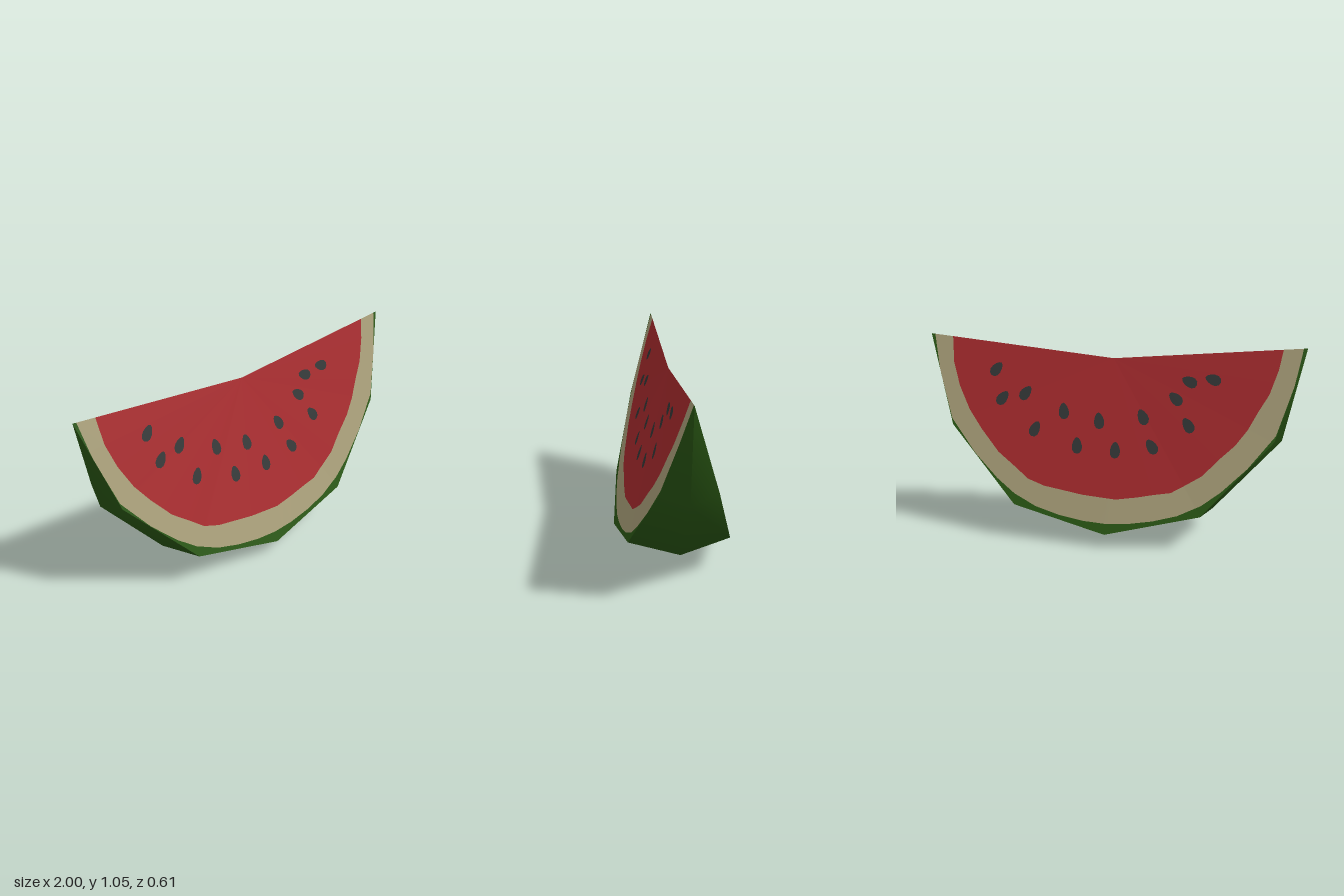
import * as THREE from 'three';

const APEX_Y = 0.96;
const ridgeY = (x) => APEX_Y + 0.095 * Math.abs(x);

// Outline of the cut face [x, y, z] and the matching keel of the rind, left to right
const mirror = (half) => [...half.map(([x, ...rest]) => [-x, ...rest]), ...half.slice(0, -1).reverse()];
const faceEdge = mirror([[1, 1.055, 0], [0.86, 0.59, 0.14], [0.5, 0.195, 0.26], [0, 0.075, 0.305]]);
const keel = mirror([[1, 1.055, 0], [0.9, 0.55, 0], [0.55, 0.135, 0], [0, 0, 0]]);

// Colour borders on the cut face
const creamEdge = mirror([[0.98, ridgeY(0.98)], [0.945, 0.87], [0.865, 0.62], [0.73, 0.45], [0.6, 0.325],
  [0.5, 0.25], [0.38, 0.193], [0.25, 0.158], [0.12, 0.137], [0, 0.13]]);
const fleshEdge = [[-0.88, ridgeY(0.88)], [-0.868, 0.91], [-0.83, 0.79], [-0.77, 0.67], [-0.7, 0.575], [-0.6, 0.46],
  [-0.5, 0.385], [-0.43, 0.33], [-0.34, 0.3], [-0.24, 0.285], [-0.13, 0.268], [0.05, 0.255], [0.16, 0.272],
  [0.25, 0.29], [0.34, 0.305], [0.41, 0.345], [0.5, 0.4], [0.58, 0.485], [0.66, 0.56], [0.72, 0.64],
  [0.77, 0.735], [0.82, 0.82], [0.86, 0.94], [0.88, ridgeY(0.88)]];

// Seeds: x, y, tilt in degrees
const seeds = [[-0.63, 0.885, -40], [-0.59, 0.738, -40], [-0.465, 0.768, -38], [-0.405, 0.588, -25],
  [-0.253, 0.685, 8], [-0.172, 0.515, 3], [-0.06, 0.645, 8], [0.034, 0.503, 0], [0.172, 0.675, 28],
  [0.227, 0.53, 38], [0.412, 0.647, 35], [0.34, 0.775, 52], [0.408, 0.863, 70], [0.53, 0.88, 75]];

// Angle round the middle of the ridge, measured from straight down
const angleOf = ([x, y]) => Math.atan2(x, APEX_Y - y);

// Where a ray from the ridge middle crosses a border
function crossing(line, angle) {
  let i = 0;
  while (i < line.length - 2 && angleOf(line[i + 1]) < angle) i++;
  const [a, b] = [line[i], line[i + 1]];
  const dx = Math.sin(angle), dy = -Math.cos(angle);
  const side = (p) => dx * (p[1] - APEX_Y) - dy * p[0];
  const t = THREE.MathUtils.clamp(side(a) / (side(a) - side(b)), 0, 1);
  return a.map((v, k) => v + (b[k] - v) * t);
}
const radiusOf = ([x, y]) => Math.hypot(x, y - APEX_Y);

// Point of the faceted cut face at a given x and y
function onFace(x, y, lift = 0) {
  const edge = crossing(faceEdge, angleOf([x, y]));
  return [x, y, edge[2] * radiusOf([x, y]) / radiusOf(edge) + lift];
}

function meshFrom(name, points, index, material) {
  const geometry = new THREE.BufferGeometry();
  geometry.setAttribute('position', new THREE.Float32BufferAttribute(points.flat(), 3));
  geometry.setIndex(index);
  geometry.computeVertexNormals();
  const mesh = new THREE.Mesh(geometry, material);
  mesh.name = name;
  return mesh;
}

// Strips joining neighbouring rows of equal length
function strips(rows) {
  const n = rows[0].length, index = [];
  for (let r = 0; r < rows.length - 1; r++) {
    for (let i = 0; i < n - 1; i++) {
      const a = r * n + i, b = a + n;
      index.push(a, b, a + 1, b, b + 1, a + 1);
    }
  }
  return [rows.flat(), index];
}

function createCutFace(materials) {
  const face = new THREE.Group();
  const angles = [...faceEdge, ...creamEdge, ...fleshEdge].map(angleOf).sort((a, b) => a - b)
    .filter((a, i, all) => i === 0 || a - all[i - 1] > 1e-4);
  const border = (line) => angles.map((angle) => {
    const r = Math.min(radiusOf(crossing(line, angle)), radiusOf(crossing(faceEdge, angle)));
    return onFace(Math.sin(angle) * r, APEX_Y - Math.cos(angle) * r);
  });
  const centre = angles.map(() => [0, APEX_Y, 0]);
  const flesh = border(fleshEdge), cream = border(creamEdge), outer = border(faceEdge);
  face.add(meshFrom('flesh', ...strips([centre, flesh]), materials.flesh));
  face.add(meshFrom('innerRind', ...strips([flesh, cream]), materials.cream));
  face.add(meshFrom('rindRim', ...strips([cream, outer]), materials.rind));

  // Flat teardrop seeds, wider at the lower end
  const sides = 12;
  for (const [sx, sy, tilt] of seeds) {
    const turn = THREE.MathUtils.degToRad(tilt), c = Math.cos(turn), s = Math.sin(turn);
    const points = [onFace(sx, sy, 0.004)], index = [];
    for (let i = 0; i < sides; i++) {
      const a = i / sides * Math.PI * 2;
      const v = 0.042 * Math.sin(a), u = 0.027 * Math.cos(a) * (1 - 0.25 * Math.sin(a));
      points.push(onFace(sx + u * c - v * s, sy + u * s + v * c, 0.004));
      index.push(0, i + 1, (i + 1) % sides + 1);
    }
    face.add(meshFrom('seed', points, index, materials.seed));
  }
  return face;
}

export function createModel() {
  const make = (name, color) => Object.assign(new THREE.MeshStandardMaterial({ color }), { name });
  const materials = {
    flesh: make('red flesh', 0xa82a2d),
    cream: make('cream rind', 0xaaa07a),
    rind: make('green rind', 0x2a5814),
    seed: make('dark seed', 0x333737),
  };
  const model = new THREE.Group();
  model.name = 'watermelonSlice';

  // Outer skin from the front edge over the keel to the back edge
  const backEdge = faceEdge.map(([x, y, z]) => [x, y, -z]);
  model.add(meshFrom('rind', ...strips([faceEdge, keel, backEdge]), materials.rind));

  // The two cut faces are the same, turned half way round
  const front = createCutFace(materials);
  front.name = 'frontCutFace';
  const back = createCutFace(materials);
  back.name = 'backCutFace';
  back.rotation.y = Math.PI;
  model.add(front, back);
  return model;
}
